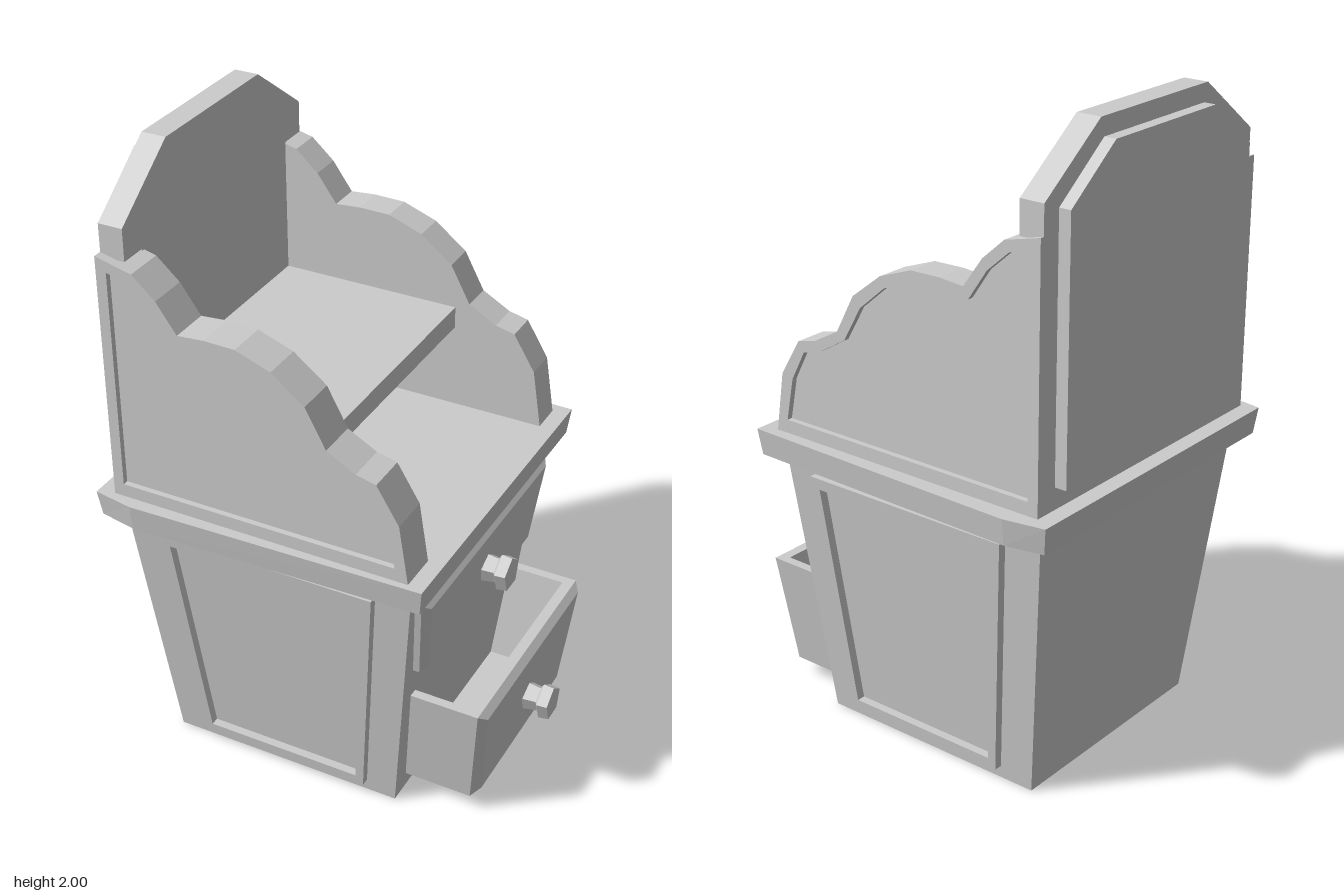
import * as THREE from 'three';

const mat = new THREE.MeshStandardMaterial({ color: 0xcccccc, flatShading: true });

// Front slope of the tapered cabinet
const frontX = (y) => 0.28 + 0.103 * y;

function add(parent, name, geo) {
  const m = new THREE.Mesh(geo, mat);
  m.name = name;
  parent.add(m);
  return m;
}

// Skin between convex rings, each counter-clockwise seen from the end side, with caps
function loft(rings) {
  const n = rings[0].length, pos = rings.flat(2), idx = [];
  for (let r = 0; r < rings.length - 1; r++) {
    for (let i = 0; i < n; i++) {
      const a = r * n + i, b = r * n + (i + 1) % n;
      idx.push(a, b, b + n, a, b + n, a + n);
    }
  }
  const e = (rings.length - 1) * n;
  for (let i = 1; i < n - 1; i++) idx.push(0, i + 1, i, e, e + i, e + i + 1);
  const g = new THREE.BufferGeometry();
  g.setAttribute('position', new THREE.Float32BufferAttribute(pos, 3));
  g.setIndex(idx);
  const flat = g.toNonIndexed();
  flat.computeVertexNormals();
  return flat;
}

// Horizontal rectangle ring
const rect = (y, x0, x1, z) => [[x1, y, z], [x1, y, -z], [x0, y, -z], [x0, y, z]];

// Trapezoid ring parallel to the sloping front: [zLeft, zRight] at bottom and top
const slopeRing = (off, y0, y1, bottom, top) => [
  [frontX(y0) + off, y0, bottom[0]], [frontX(y0) + off, y0, bottom[1]],
  [frontX(y1) + off, y1, top[1]], [frontX(y1) + off, y1, top[0]],
];

function plate(outer, depth, inner) {
  const toV = (p) => p.map(([x, y]) => new THREE.Vector2(x, y));
  const s = new THREE.Shape(toV(outer));
  if (inner) s.holes.push(new THREE.Path(toV(inner)));
  return new THREE.ExtrudeGeometry(s, { depth, bevelEnabled: false });
}

// Mirrors half an outline (top centre downwards) into a full one
const mirrored = (half) => [...half, ...half.map(([x, y]) => [-x, y]).reverse()];

// Five-sided knob pointing along +x
function knob(parent, x, y) {
  const profile = [[0, 0], [0.047, 0], [0.04, 0.045], [0.059, 0.055], [0.055, 0.088], [0, 0.088]]
    .map(([r, h]) => new THREE.Vector2(r, h));
  const g = new THREE.LatheGeometry(profile, 5, -Math.PI / 2).rotateZ(-Math.PI / 2);
  add(parent, 'knob', g).position.set(x, y, 0);
}

// Bevelled drawer front; half widths at bottom and top
function drawerFront(parent, off, thick, bevel, y0, y1, b, t) {
  const i = 0.03, j = 0.021;
  add(parent, 'drawerFront', loft([
    slopeRing(off, y0, y1, [b, -b], [t, -t]),
    slopeRing(off + thick, y0, y1, [b, -b], [t, -t]),
    slopeRing(off + thick + bevel, y0 + j, y1 - j, [b - i, i - b], [t - i, i - t]),
  ]));
}

export function createModel() {
  const root = new THREE.Group();
  root.name = 'cabinet';

  // Tapered body and table top
  add(root, 'body', loft([rect(0, -0.49, 0.28, 0.387), rect(0.88, -0.58, 0.37, 0.476)]));
  const topRing = (y, d) => [
    [0.43 - d, y, 0.535 - d], [0.43 - d, y, -0.535 + d], [-0.51, y, -0.558 + d],
    [-0.64 + d, y, -0.535 + d], [-0.64 + d, y, 0.535 - d], [-0.51, y, 0.558 - d],
  ];
  add(root, 'tableTop', loft([topRing(0.87, 0.01), topRing(0.953, 0)]));

  // Raised frames on the sloping sides
  const frameOuter = [[-0.38, 0.042], [0.185, 0.042], [0.254, 0.836], [-0.455, 0.836]];
  const frameInner = [[-0.355, 0.074], [0.16, 0.074], [0.222, 0.8], [-0.42, 0.8]];
  for (const s of [1, -1]) {
    const g = plate(frameOuter, 0.032, frameInner).translate(0, 0, s > 0 ? -0.005 : -0.027);
    const p = g.attributes.position;
    for (let i = 0; i < p.count; i++) p.setZ(i, p.getZ(i) + s * (0.387 + 0.101 * p.getY(i)));
    g.computeVertexNormals();
    add(root, 'bodySideFrame', g);
  }

  // Closed upper drawer
  const upper = new THREE.Group();
  upper.name = 'upperDrawer';
  root.add(upper);
  drawerFront(upper, -0.01, 0.03, 0.02, 0.535, 0.825, 0.385, 0.44);
  knob(upper, 0.385, 0.68);

  // Open lower drawer: front, two walls and a floor
  const lower = new THREE.Group();
  lower.name = 'lowerDrawer';
  root.add(lower);
  drawerFront(lower, 0.185, 0.034, 0.023, 0.058, 0.425, 0.325, 0.375);
  for (const [b, t] of [[[0.325, 0.295], [0.375, 0.345]], [[-0.295, -0.325], [-0.345, -0.375]]]) {
    add(lower, 'drawerWall', loft([-0.06, 0.19].map((o) => slopeRing(o, 0.058, 0.425, b, t))));
  }
  add(lower, 'drawerFloor', loft([-0.06, 0.19].map((o) =>
    slopeRing(o, 0.058, 0.09, [0.31, -0.31], [0.314, -0.314]))));
  knob(lower, 0.545, 0.235);

  // Scalloped side boards with a raised rim outside
  const sideOuter = [
    [-0.587, 0.945], [0.38, 0.945], [0.35, 1.14], [0.28, 1.255], [0.217, 1.27], [0.127, 1.32],
    [0.063, 1.44], [-0.04, 1.52], [-0.15, 1.56], [-0.25, 1.562], [-0.333, 1.555],
    [-0.397, 1.645], [-0.47, 1.71], [-0.587, 1.738],
  ];
  const sideInner = [
    [-0.553, 0.995], [0.337, 0.995], [0.31, 1.13], [0.26, 1.225], [0.2, 1.24], [0.1, 1.3],
    [0.037, 1.41], [-0.053, 1.487], [-0.15, 1.53], [-0.25, 1.53], [-0.35, 1.522],
    [-0.413, 1.615], [-0.487, 1.68], [-0.553, 1.695],
  ];
  const rim = 0.018;
  for (const [s, zIn, zOut] of [[1, 0.39, 0.516], [-1, 0.398, 0.5]]) {
    const core = zOut - zIn - rim;
    add(root, 'sideBoard', plate(sideOuter, core)).position.z = s > 0 ? zIn : -zIn - core;
    add(root, 'sideBoardRim', plate(sideOuter, rim, sideInner)).position.z = s > 0 ? zOut - rim : -zOut;
  }

  // Back board with wide shoulders, and a raised frame behind it
  const back = mirrored([[0.25, 2], [0.487, 1.825], [0.487, 1.725], [0.4, 1.725], [0.4, 0.945]]);
  add(root, 'backBoard', plate(back, 0.078).rotateY(-Math.PI / 2)).position.x = -0.509;
  const backOuter = mirrored([[0.235, 1.945], [0.425, 1.8], [0.425, 1.02]]);
  const backInner = mirrored([[0.222, 1.91], [0.392, 1.782], [0.392, 1.053]]);
  add(root, 'backFrame', plate(backOuter, 0.038, backInner).rotateY(-Math.PI / 2)).position.x = -0.587;

  // Shelf between the side boards
  add(root, 'shelf', new THREE.BoxGeometry(0.6, 0.07, 0.8)).position.set(-0.22, 1.263, 0);

  return root;
}
